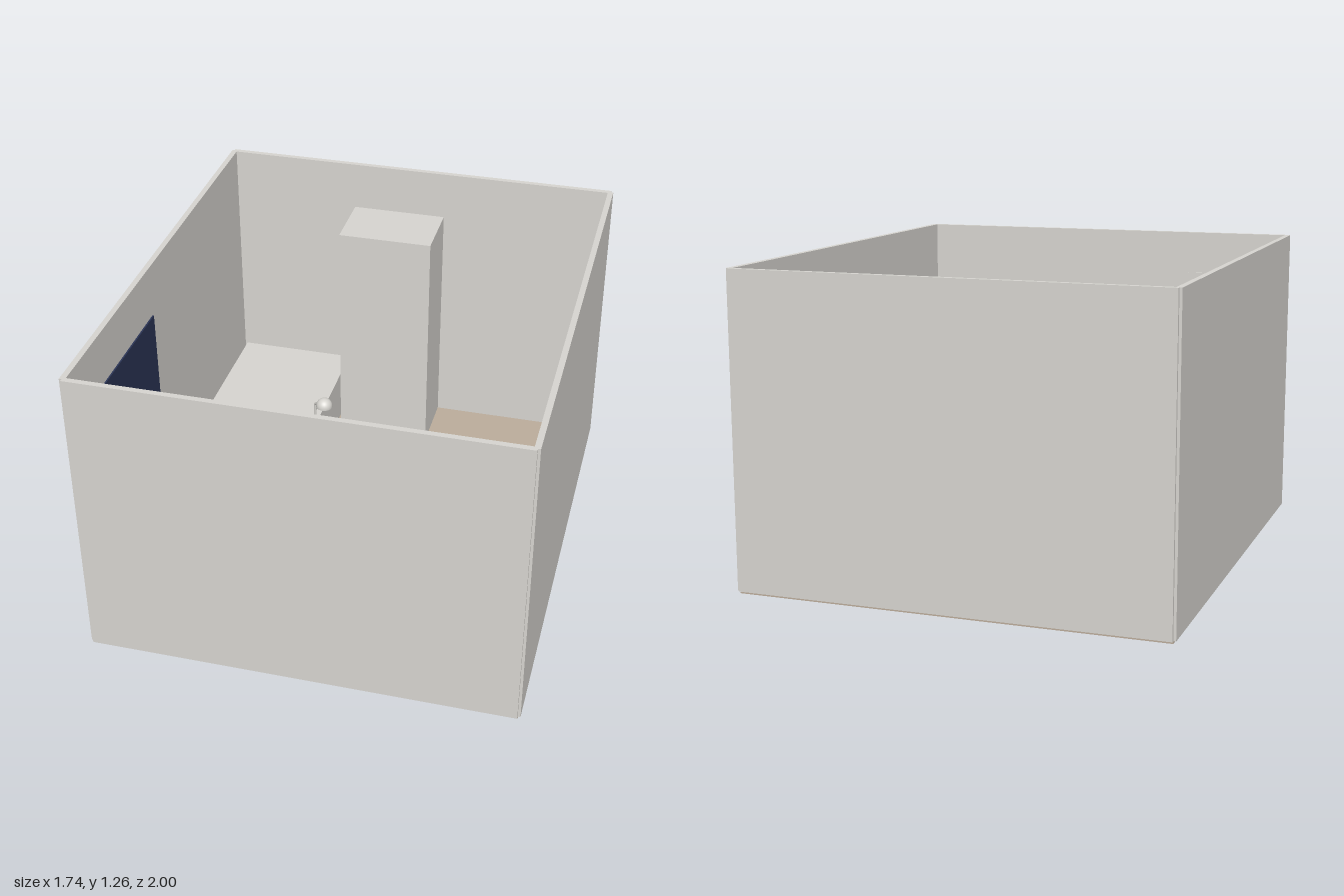
import * as THREE from 'three';

const mat = (name, color) => {
  const m = new THREE.MeshStandardMaterial({ color });
  m.name = name;
  return m;
};

export function createModel() {
  const pale = mat('pale grey', 0xd6d4cf);
  const wood = mat('wood', 0xbbac9b);
  const navy = mat('navy', 0x2b3455);
  const dark = mat('dark brown', 0x584e46);
  const skin = mat('skin', 0xc4af9c);
  const room = new THREE.Group();
  room.name = 'room';

  const add = (parent, name, geo, m, x = 0, y = 0, z = 0) => {
    const mesh = new THREE.Mesh(geo, m);
    mesh.name = name;
    mesh.position.set(x, y, z);
    parent.add(mesh);
    return mesh;
  };
  // Box given by its limits on each axis
  const box = (parent, name, m, x0, x1, y0, y1, z0, z1) =>
    add(parent, name, new THREE.BoxGeometry(x1 - x0, y1 - y0, z1 - z0), m,
      (x0 + x1) / 2, (y0 + y1) / 2, (z0 + z1) / 2);
  const ball = (parent, name, m, x, y, z, rx, ry, rz) => {
    const b = add(parent, name, new THREE.SphereGeometry(1, 24, 16), m, x, y, z);
    b.scale.set(rx, ry, rz);
    return b;
  };
  // Round limb between two points
  const limb = (parent, name, m, a, b, r) => {
    const p = new THREE.Vector3(...a), q = new THREE.Vector3(...b);
    const d = q.clone().sub(p);
    const mesh = add(parent, name, new THREE.CapsuleGeometry(r, d.length(), 6, 16), m);
    mesh.position.copy(p).add(q).multiplyScalar(0.5);
    mesh.quaternion.setFromUnitVectors(new THREE.Vector3(0, 1, 0), d.normalize());
    return mesh;
  };
  const group = (name) => {
    const g = new THREE.Group();
    g.name = name;
    room.add(g);
    return g;
  };

  // Floor and walls
  box(room, 'floor', wood, -0.858, 0.858, 0, 0.012, -0.988, 0.988);
  for (const s of [-1, 1]) {
    add(room, 'sideWall', new THREE.BoxGeometry(0.023, 1.247, 1.976), pale, s * 0.857, 0.6335, 0);
    add(room, 'endWall', new THREE.BoxGeometry(1.716, 1.247, 0.023), pale, 0, 0.6335, s * 0.9885);
  }

  // Fittings on the walls
  box(room, 'window', navy, -0.8455, -0.839, 0.45, 1.04, 0.15, 0.77);
  box(room, 'door', pale, -0.845, -0.405, 0.012, 1.073, 0.968, 0.977);
  box(room, 'lightSwitch', pale, -0.39, -0.35, 0.55, 0.6, 0.972, 0.977);
  box(room, 'poster', pale, -0.282, -0.14, 0.66, 0.862, 0.972, 0.977);
  box(room, 'poster', pale, -0.1, 0.04, 0.66, 0.864, 0.972, 0.977);

  // Large furniture
  box(room, 'bed', pale, -0.833, -0.317, 0.012, 0.242, -0.968, 0.02);
  box(room, 'wardrobe', pale, -0.287, 0.125, 0.012, 1.047, -0.977, -0.695);
  box(room, 'bookcase', wood, 0.205, 0.62, 0.012, 0.852, 0.817, 0.972);

  // Desk
  const desk = group('desk');
  box(desk, 'deskTop', wood, -0.338, 0.28, 0.36, 0.38, -0.235, 0.07);
  for (const x of [-0.32, 0.262])
    for (const z of [-0.217, 0.052])
      box(desk, 'deskLeg', wood, x - 0.013, x + 0.013, 0.012, 0.36, z - 0.013, z + 0.013);

  // Things on the desk
  const screen = box(desk, 'screen', dark, -0.087, 0.029, 0.395, 0.475, -0.077, -0.064);
  screen.rotation.x = -0.15;
  box(desk, 'screenStand', dark, -0.061, 0.003, 0.38, 0.43, -0.1, -0.076);
  add(desk, 'cup', new THREE.CylinderGeometry(0.019, 0.017, 0.045, 24), pale, 0.188, 0.4025, -0.172);
  [[-0.192, 0.382, -0.005, 0.1], [-0.186, 0.385, -0.01, 0.07]].forEach(([x, y, z, turn]) => {
    add(desk, 'paper', new THREE.BoxGeometry(0.105, 0.003, 0.145), pale, x, y, z).rotation.y = turn;
  });

  // Desk lamp
  const lamp = group('lamp');
  add(lamp, 'lampBase', new THREE.CylinderGeometry(0.035, 0.035, 0.012, 32), pale, -0.262, 0.386, -0.172);
  limb(lamp, 'lampArm', pale, [-0.262, 0.39, -0.172], [-0.255, 0.5, -0.165], 0.006);
  limb(lamp, 'lampArm', pale, [-0.255, 0.5, -0.165], [-0.2, 0.56, -0.11], 0.006);
  const shade = add(lamp, 'lampShade',
    new THREE.SphereGeometry(0.035, 24, 12, 0, Math.PI * 2, 0, Math.PI / 2), pale, -0.2, 0.535, -0.11);
  shade.material = pale;
  add(lamp, 'lampGlass', new THREE.CylinderGeometry(0.035, 0.035, 0.004, 24), pale, -0.2, 0.533, -0.11);

  // Stool
  const stool = group('stool');
  box(stool, 'seat', wood, -0.132, 0.074, 0.2, 0.222, 0.085, 0.307);
  for (const x of [-0.12, 0.062])
    for (const z of [0.097, 0.295])
      box(stool, 'stoolLeg', wood, x - 0.01, x + 0.01, 0.012, 0.2, z - 0.01, z + 0.01);

  // Seated figure facing the back of the room
  const figure = group('figure');
  figure.position.x = -0.029;
  const torso = add(figure, 'torso', new THREE.BoxGeometry(0.132, 0.28, 0.08), pale, 0, 0.362, 0.192);
  torso.rotation.x = -0.12;
  limb(figure, 'neck', skin, [0, 0.49, 0.165], [0, 0.53, 0.15], 0.018);
  ball(figure, 'face', skin, 0, 0.572, 0.122, 0.037, 0.05, 0.04);
  ball(figure, 'hair', navy, 0, 0.587, 0.135, 0.042, 0.054, 0.048);
  for (const s of [-1, 1]) {
    ball(figure, 'fringe', navy, s * 0.021, 0.606, 0.092, 0.014, 0.016, 0.014);
    const elbow = [s * 0.09, 0.405, 0.105], wrist = [s * 0.088, 0.402, 0.01];
    limb(figure, 'upperArm', pale, [s * 0.066, 0.475, 0.165], elbow, 0.018);
    limb(figure, 'forearm', pale, elbow, wrist, 0.015);
    ball(figure, 'hand', skin, s * 0.088, 0.4, -0.03, 0.016, 0.014, 0.034);
    const knee = [s * 0.036, 0.25, 0.02];
    limb(figure, 'thigh', pale, [s * 0.034, 0.252, 0.19], knee, 0.028);
    limb(figure, 'shin', pale, knee, [s * 0.036, 0.06, 0.025], 0.023);
    ball(figure, 'foot', dark, s * 0.036, 0.034, 0.005, 0.024, 0.022, 0.05);
  }
  return room;
}
